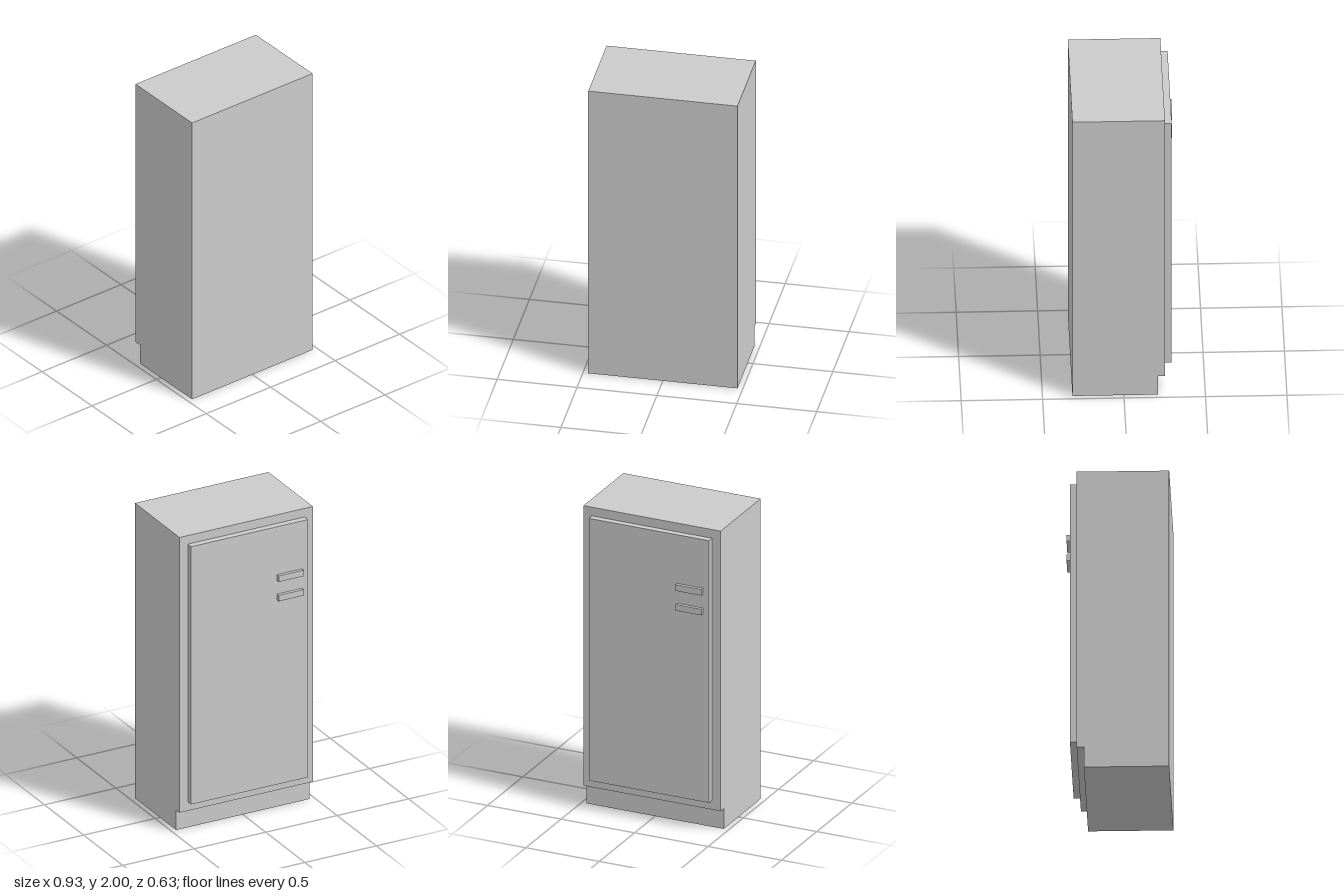
import * as THREE from 'three';

export function createModel() {
  const group = new THREE.Group();
  const material = new THREE.MeshStandardMaterial({ color: 0xcccccc, flatShading: true });

  const add = (name, geometry) => {
    const mesh = new THREE.Mesh(geometry, material);
    mesh.name = name;
    group.add(mesh);
  };

  // Box given by its extents along each axis
  const addBox = (name, [x0, x1], [y0, y1], [z0, z1]) => {
    const geometry = new THREE.BoxGeometry(x1 - x0, y1 - y0, z1 - z0);
    geometry.translate((x0 + x1) / 2, (y0 + y1) / 2, (z0 + z1) / 2);
    add(name, geometry);
  };

  // Cabinet: side profile (z, y) with a recessed plinth under the door side
  const width = 0.934;
  const profile = new THREE.Shape([
    [0.316, 0], [0.316, 2], [-0.252, 2], [-0.252, 0.135], [-0.208, 0.135], [-0.208, 0],
  ].map(([z, y]) => new THREE.Vector2(z, y)));
  const cabinet = new THREE.ExtrudeGeometry(profile, { depth: width, bevelEnabled: false });
  cabinet.translate(0, 0, -width / 2);
  cabinet.rotateY(-Math.PI / 2);
  add('cabinet', cabinet);

  // Door panel
  addBox('door', [-0.409, 0.409], [0.196, 1.942], [-0.295, -0.252]);

  // Pair of horizontal handles
  addBox('upperHandle', [-0.367, -0.192], [1.577, 1.618], [-0.317, -0.295]);
  addBox('lowerHandle', [-0.367, -0.192], [1.446, 1.486], [-0.317, -0.295]);

  return group;
}
